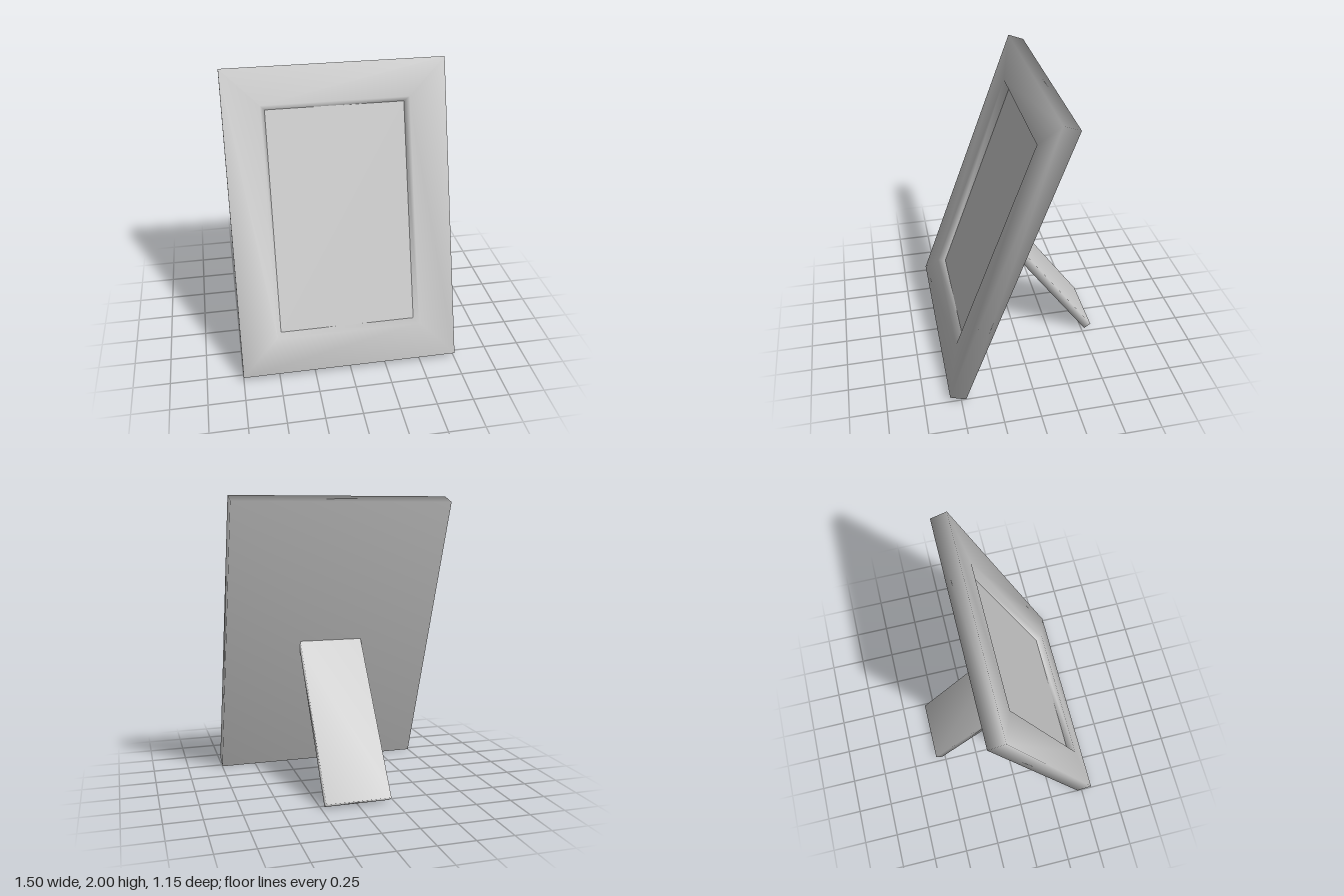
import * as THREE from 'three';

const grey = new THREE.MeshStandardMaterial({ color: 0xcccccc });

// Skin rectangular loops [halfWidth, bottom, top, z] from back to front;
// corners are shared so the shading runs softly over the edges.
function loft(loops, capFront) {
  const pos = [], idx = [];
  for (const [w, y0, y1, z] of loops) {
    pos.push(-w, y0, z, w, y0, z, w, y1, z, -w, y1, z);
  }
  for (let k = 0; k < loops.length - 1; k++) {
    for (let i = 0; i < 4; i++) {
      const j = (i + 1) % 4;
      const a = k * 4 + i, b = k * 4 + j, c = b + 4, d = a + 4;
      idx.push(a, b, c, a, c, d);
    }
  }
  idx.push(0, 3, 2, 0, 2, 1); // back cap
  if (capFront) {
    const s = (loops.length - 1) * 4;
    idx.push(s, s + 1, s + 2, s, s + 2, s + 3);
  }
  const geo = new THREE.BufferGeometry();
  geo.setAttribute('position', new THREE.Float32BufferAttribute(pos, 3));
  geo.setIndex(idx);
  geo.computeVertexNormals();
  return geo;
}

function part(name, geo) {
  const mesh = new THREE.Mesh(geo, grey);
  mesh.name = name;
  return mesh;
}

export function createModel() {
  const model = new THREE.Group();
  model.name = 'pictureFrame';

  const W = 0.75, H = 2.086, T = 0.115; // half width, height, thickness
  const border = 0.25, slope = 0.03, depth = 0.048;
  const inner = border + slope;

  // Leaning front: local z = 0 is the front face, y = 0 the bottom edge
  const front = new THREE.Group();
  front.name = 'leaningFront';
  front.rotation.x = THREE.MathUtils.degToRad(-20);
  front.position.set(0, 0.04, 0.575);
  model.add(front);

  // Border with sloping walls down to the picture, and closed back
  front.add(part('frameBorder', loft([
    [W, 0, H, -T],
    [W, 0, H, 0],
    [W - border, border, H - border, 0],
    [W - inner, inner, H - inner, -depth],
  ], false)));

  // Recessed flat picture
  const picture = part('picturePanel', new THREE.PlaneGeometry(2 * (W - inner), H - 2 * inner));
  picture.position.set(0, H / 2, -depth);
  front.add(picture);

  // Slanted support leg behind
  const L = 1.176, t = 0.058;
  const leg = part('supportLeg', loft([
    [0.223, -L / 2, L / 2, -t / 2],
    [0.223, -L / 2, L / 2, t / 2],
  ], true));
  leg.rotation.x = THREE.MathUtils.degToRad(35.3);
  leg.position.set(0, 0.501, -0.207);
  model.add(leg);

  return model;
}
